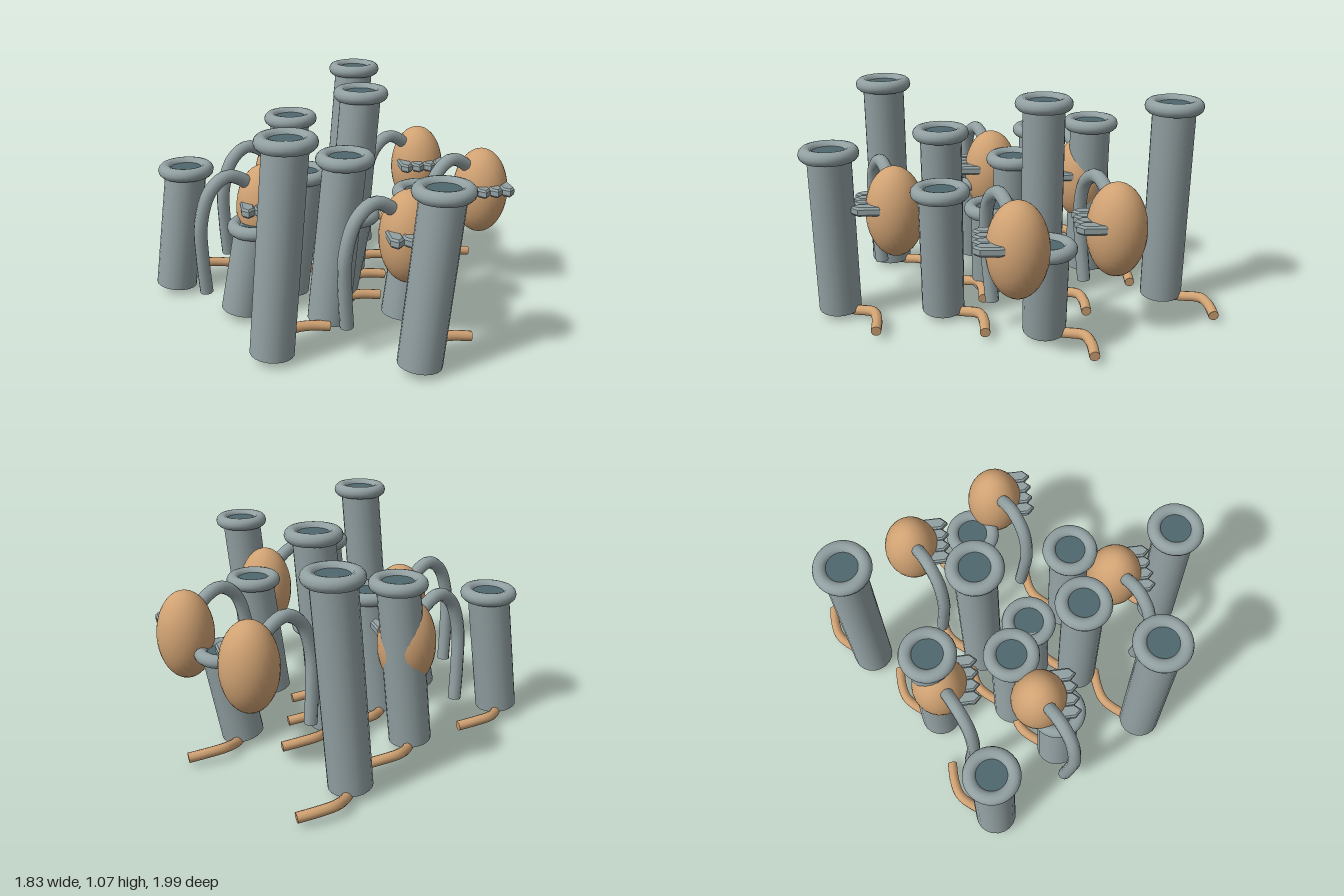
import * as THREE from 'three';

const mat = (name, color) => Object.assign(new THREE.MeshStandardMaterial({ color }), { name });

export function createModel() {
  const grey = mat('blue grey', 0x92a0a2);
  const dark = mat('dark teal', 0x50676f);
  const tan = mat('tan', 0xd0a273);
  const toothGrey = grey;

  const model = new THREE.Group();
  model.name = 'tubeColony';
  const add = (parent, name, geo, material, x = 0, y = 0, z = 0) => {
    const m = new THREE.Mesh(geo, material);
    m.name = name;
    m.position.set(x, y, z);
    parent.add(m);
    return m;
  };
  // Round tube along a smooth path, closed at both ends
  const tubeWithCaps = (parent, name, pts, radius, material, segs) => {
    const curve = new THREE.CatmullRomCurve3(pts.map(p => new THREE.Vector3(...p)));
    add(parent, name, new THREE.TubeGeometry(curve, segs, radius, 10), material);
    [0, 1].forEach(t => {
      const p = curve.getPointAt(t);
      const dir = curve.getTangentAt(t).multiplyScalar(t ? 1 : -1);
      const cap = add(parent, name + 'End', new THREE.CircleGeometry(radius, 10), material, p.x, p.y, p.z);
      cap.quaternion.setFromUnitVectors(new THREE.Vector3(0, 0, 1), dir);
    });
  };

  // Leaning stalks: rim x, rim z, rim height
  const lean = 0.08, foot = 0.037;
  const stalks = [
    [0.24, -0.77, 1.035], [0.16, -0.16, 1.035], [-0.32, 0.64, 1.035],
    [-0.17, -0.43, 0.85], [-0.01, 0.34, 0.85], [0.32, 0.85, 0.85],
    [-0.74, -0.2, 0.665], [-0.16, -0.03, 0.665], [0.36, 0.34, 0.665],
    [0.61, -0.14, 0.475], [0.07, 0.09, 0.475], [-0.42, 0.17, 0.475],
  ];
  const rimGeo = new THREE.TorusGeometry(0.107, 0.034, 12, 28).rotateX(Math.PI / 2);
  const mouthGeo = new THREE.CircleGeometry(0.085, 24).rotateX(-Math.PI / 2);
  for (const [x, z, h] of stalks) {
    const g = new THREE.Group();
    g.name = 'stalk';
    g.position.set(x - lean, 0, z);
    model.add(g);
    const rise = h - foot;
    const body = add(g, 'stalkBody',
      new THREE.CylinderGeometry(0.104, 0.104, Math.hypot(lean, rise), 20), grey,
      lean / 2, foot + rise / 2, 0);
    body.rotation.z = -Math.atan2(lean, rise);
    add(g, 'rim', rimGeo, grey, lean, h, 0);
    add(g, 'mouth', mouthGeo, dark, lean, h + 0.012, 0);
    tubeWithCaps(g, 'root', [
      [0, 0.025, 0], [0.045, 0.033, -0.09], [0.12, 0.056, -0.175],
      [0.2, 0.055, -0.197], [0.3, 0.043, -0.2],
    ], 0.025, tan, 18);
  }

  // Egg-shaped pods with a row of teeth and a drooping feeler
  const pods = [[0.545, -0.465], [0.767, 0], [0.25, 0.56], [-0.365, 0.08], [-0.23, -0.4]];
  const podGeo = new THREE.SphereGeometry(1, 28, 20).scale(0.142, 0.225, 0.142);
  const w = 0.0315;
  const tooth = new THREE.Shape([[-w, 0.06], [w, 0.06], [w, 0.165], [0, 0.198], [-w, 0.165]]
    .map(([a, b]) => new THREE.Vector2(a, -b)).reverse());
  const toothGeo = new THREE.ExtrudeGeometry(tooth, {
    depth: 0.025, bevelEnabled: true, bevelSize: 0.008, bevelOffset: -0.008, bevelThickness: 0.01, bevelSegments: 1,
  }).translate(0, 0, -0.0125).rotateX(-Math.PI / 2);
  for (const [x, z] of pods) {
    const g = new THREE.Group();
    g.name = 'pod';
    g.position.set(x, 0, z);
    model.add(g);
    add(g, 'podBody', podGeo, tan, 0, 0.535, 0);
    for (let i = 0; i < 4; i++) add(g, 'tooth', toothGeo, toothGrey, (i - 1.5) * 0.0635, 0.575, 0);
    tubeWithCaps(g, 'feeler', [
      [-0.04, 0.62, 0.015], [-0.095, 0.69, 0.035], [-0.185, 0.733, 0.075], [-0.27, 0.675, 0.115],
      [-0.32, 0.52, 0.13], [-0.32, 0.33, 0.118], [-0.308, 0.15, 0.103],
    ], 0.033, grey, 32);
  }
  return model;
}
